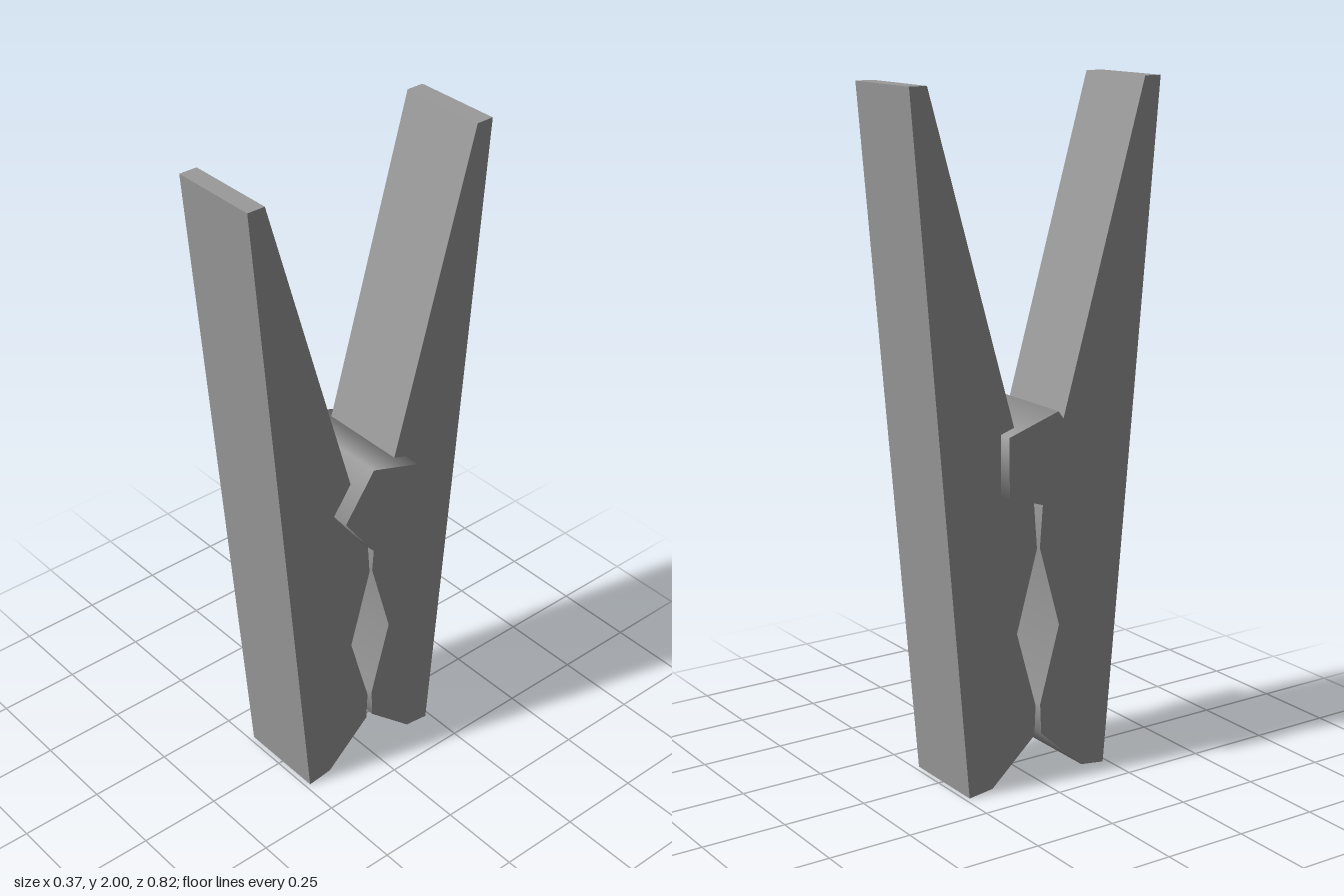
import * as THREE from 'three';

// Front arm outline as [z, y, smooth]; the back arm mirrors z
const ARM_PROFILE = [
  [0.235, 0], [0.408, 2], [0.354, 2], [0.077, 1.04],            // outer face, tip, handle slope
  [0.075, 0.93], [0.016, 0.84], [0.005, 0.7, true],             // spring seat
  [0.073, 0.46, true], [0.008, 0.23, true], [0.012, 0.14, true], // clothesline notch
  [0.157, 0.01],                                                // flared mouth
];

// Outward normal of the outline edge that starts at point i
function edgeNormal(i) {
  const [z0, y0] = ARM_PROFILE[i];
  const [z1, y1] = ARM_PROFILE[(i + 1) % ARM_PROFILE.length];
  return new THREE.Vector3(0, z0 - z1, y1 - y0).normalize();
}

// Round the shading over the gripping edges, leaving all other edges sharp
function smoothJaw(geometry, side) {
  const { position, normal } = geometry.attributes;
  ARM_PROFILE.forEach(([, y, smooth], i) => {
    if (!smooth) return;
    const n = edgeNormal(i - 1).add(edgeNormal(i)).normalize();
    for (let v = 0; v < position.count; v++) {
      const onJaw = Math.abs(position.getY(v) - y) < 1e-4 && Math.abs(normal.getX(v)) < 0.5;
      if (onJaw) normal.setXYZ(v, 0, n.y, side * n.z);
    }
  });
}

export function createModel() {
  const group = new THREE.Group();
  const material = new THREE.MeshStandardMaterial({ color: 0x9a9a9a });

  // Two mirrored arms, extruded across x
  for (const [side, name] of [[1, 'frontArm'], [-1, 'backArm']]) {
    const shape = new THREE.Shape(ARM_PROFILE.map(([z, y]) => new THREE.Vector2(side * z, y)));
    const geometry = new THREE.ExtrudeGeometry(shape, { depth: 0.273, bevelEnabled: false });
    geometry.rotateY(-Math.PI / 2).translate(0.132, 0, 0);
    smoothJaw(geometry, side);
    const arm = new THREE.Mesh(geometry, material);
    arm.name = name;
    group.add(arm);
  }

  // Five-sided spring barrel, smooth around its side
  const spring = new THREE.Mesh(new THREE.CylinderGeometry(0.146, 0.146, 0.366, 5), material);
  spring.name = 'spring';
  spring.rotation.z = Math.PI / 2;
  spring.position.set(0, 0.961, -0.008);
  group.add(spring);

  return group;
}
